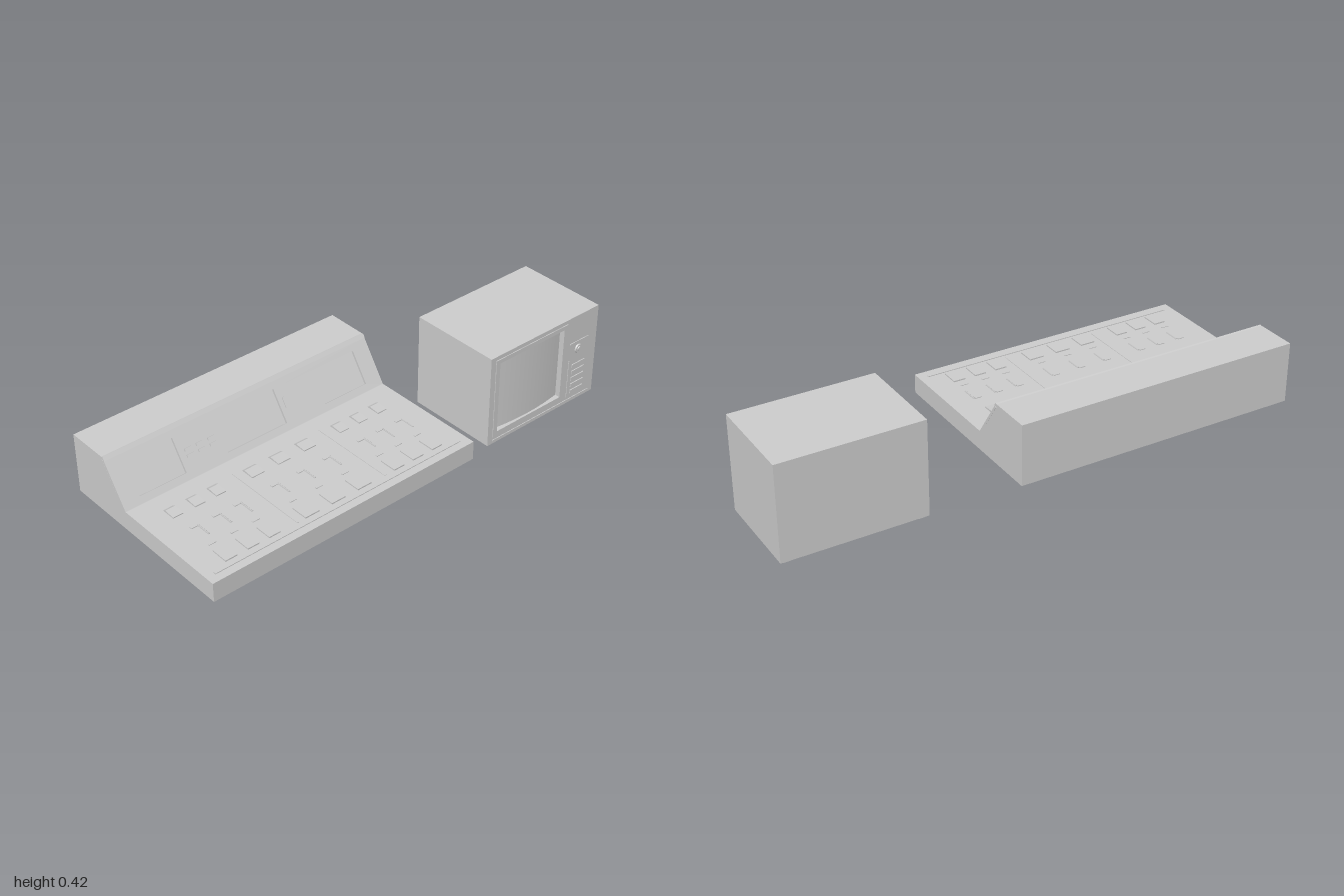
import * as THREE from 'three';

const grey = new THREE.MeshStandardMaterial({ color: 0xcccccc });
grey.name = 'lightGrey';

function add(parent, name, geometry, x = 0, y = 0, z = 0) {
  const m = new THREE.Mesh(geometry, grey);
  m.name = name;
  m.position.set(x, y, z);
  parent.add(m);
  return m;
}
const box = (parent, name, w, h, d, x, y, z) => add(parent, name, new THREE.BoxGeometry(w, h, d), x, y, z);

// Closed outline of [z, y] points swept along x, starting at x = 0
function sweepX(points, length) {
  const shape = new THREE.Shape(points.map(([z, y]) => new THREE.Vector2(-z, y)));
  const g = new THREE.ExtrudeGeometry(shape, { depth: length, bevelEnabled: false });
  return g.rotateY(Math.PI / 2);
}

function rectPath(Type, x0, y0, x1, y1) {
  return new Type([[x0, y0], [x1, y0], [x1, y1], [x0, y1]].map(p => new THREE.Vector2(...p)));
}

// Flat plate with rectangular openings
function plate(outer, holes, depth) {
  const shape = rectPath(THREE.Shape, ...outer);
  for (const h of holes) shape.holes.push(rectPath(THREE.Path, ...h));
  return new THREE.ExtrudeGeometry(shape, { depth, bevelEnabled: false });
}

function createConsole() {
  const desk = new THREE.Group();
  desk.name = 'controlDesk';
  const W = 1.17, deckY = 0.247, t = 0.01, tilt = 0.595;
  const back = t / Math.cos(tilt);

  // Cabinet with sloped riser and overhanging top lip
  add(desk, 'deskBody', sweepX([
    [0.39, 0.17], [0.39, deckY], [-0.1 - back, deckY], [-0.207 - back, 0.404],
    [-0.203, 0.404], [-0.213, 0.417], [-0.22, 0.415], [-0.39, 0.415], [-0.39, 0.17],
  ], W), -1, 0, 0);

  // Sloped face plate with three recessed monitors
  const riser = new THREE.Group();
  riser.name = 'slopedPanel';
  riser.rotation.x = -tilt;
  riser.position.set(0, deckY - t * Math.sin(tilt), -0.1 - t * Math.cos(tilt));
  desk.add(riser);
  const v = y => (y - deckY) / Math.cos(tilt);
  add(riser, 'monitorSurround', plate([-1, 0, 0.17, 0.19],
    [[-0.93, -0.73], [-0.55, -0.28], [-0.1, 0.1]].map(([a, b]) => [a, v(0.27), b, v(0.38)]), t));
  for (const x of [-0.69, -0.64, -0.59])
    for (const y of [0.313, 0.332]) box(riser, 'panelKey', 0.03, 0.01, 0.008, x, v(y), t + 0.002);
  box(riser, 'panelSlider', 0.012, 0.04, 0.006, -0.255, v(0.33), t + 0.001);

  // Raised strips around and between the control banks
  box(desk, 'frontStrip', 1.1, 0.006, 0.012, -0.415, deckY, 0.352);
  for (const x of [-0.595, -0.2]) box(desk, 'bankDivider', 0.008, 0.004, 0.36, x, deckY, 0.15);

  // Three banks of rockers, sliders and square keys
  const banks = [
    { xs: [-0.878, -0.785, -0.695], w: 0.042 },
    { xs: [-0.532, -0.415, -0.297], w: 0.055 },
    { xs: [-0.135, -0.045, 0.047], w: 0.042 },
  ];
  for (const { xs, w } of banks) {
    for (const x of xs) {
      add(desk, 'rockerKey', sweepX([
        [0.035, deckY - 0.002], [0.035, deckY + 0.004], [-0.01, deckY + 0.008], [-0.028, deckY - 0.002],
      ], w), x - w / 2, 0, 0);
      const slot = new THREE.CylinderGeometry(0.005, 0.005, 0.065, 4).rotateX(Math.PI / 2);
      add(desk, 'faderTrack', slot, x + 0.022, deckY - 0.001, 0.147);
      box(desk, 'faderCap', 0.026, 0.006, 0.012, x + 0.005, deckY, 0.115);
      box(desk, 'squareKey', w + 0.006, 0.01, 0.07, x, deckY, 0.295);
      box(desk, 'keyLabel', 0.03, 0.005, 0.008, x, deckY, 0.225);
    }
  }
  return desk;
}

function createTelevision() {
  const tv = new THREE.Group();
  tv.name = 'television';
  const front = 0.22, depth = 0.025;

  // Cabinet and front plate with screen opening
  box(tv, 'tvCabinet', 0.58, 0.395, front - depth + 0.172, 0.71, 0.2075, (front - depth - 0.172) / 2);
  add(tv, 'tvFront', plate([0.42, 0.01, 1, 0.405], [[0.465, 0.06, 0.81, 0.37]], depth), 0, 0, front - depth);

  // Bulging screen
  const glass = new THREE.PlaneGeometry(0.345, 0.31, 16, 1);
  const p = glass.attributes.position;
  for (let i = 0; i < p.count; i++) p.setZ(i, 0.014 * (1 - (p.getX(i) / 0.1725) ** 2));
  glass.computeVertexNormals();
  add(tv, 'screen', glass, 0.6375, 0.215, 0.2);

  // Thin raised trim
  add(tv, 'screenTrim', plate([0.445, 0.04, 0.83, 0.388], [[0.465, 0.06, 0.81, 0.37]], 0.003), 0, 0, front);
  box(tv, 'lowerTrim', 0.53, 0.006, 0.006, 0.71, 0.024, front);
  box(tv, 'controlTrim', 0.1, 0.005, 0.006, 0.902, 0.285, front);
  box(tv, 'controlDivider', 0.005, 0.17, 0.006, 0.852, 0.125, front);

  // Tuning knob and button column
  const disc = (r, h) => new THREE.CylinderGeometry(r * 0.85, r, h, 20).rotateX(Math.PI / 2);
  add(tv, 'knobBase', disc(0.02, 0.006), 0.9, 0.25, front + 0.002);
  add(tv, 'knob', disc(0.011, 0.01), 0.9, 0.25, front + 0.004);
  for (let i = 0; i < 5; i++) box(tv, 'channelButton', 0.07, 0.015, 0.008, 0.905, 0.058 + i * 0.03, front);

  // Long runner feet
  for (const x of [0.445, 0.968]) box(tv, 'runnerFoot', 0.028, 0.012, 0.37, x, 0.006, 0.025);
  return tv;
}

export function createModel() {
  const model = new THREE.Group();
  model.name = 'deskAndTelevision';
  model.add(createConsole(), createTelevision());
  return model;
}
